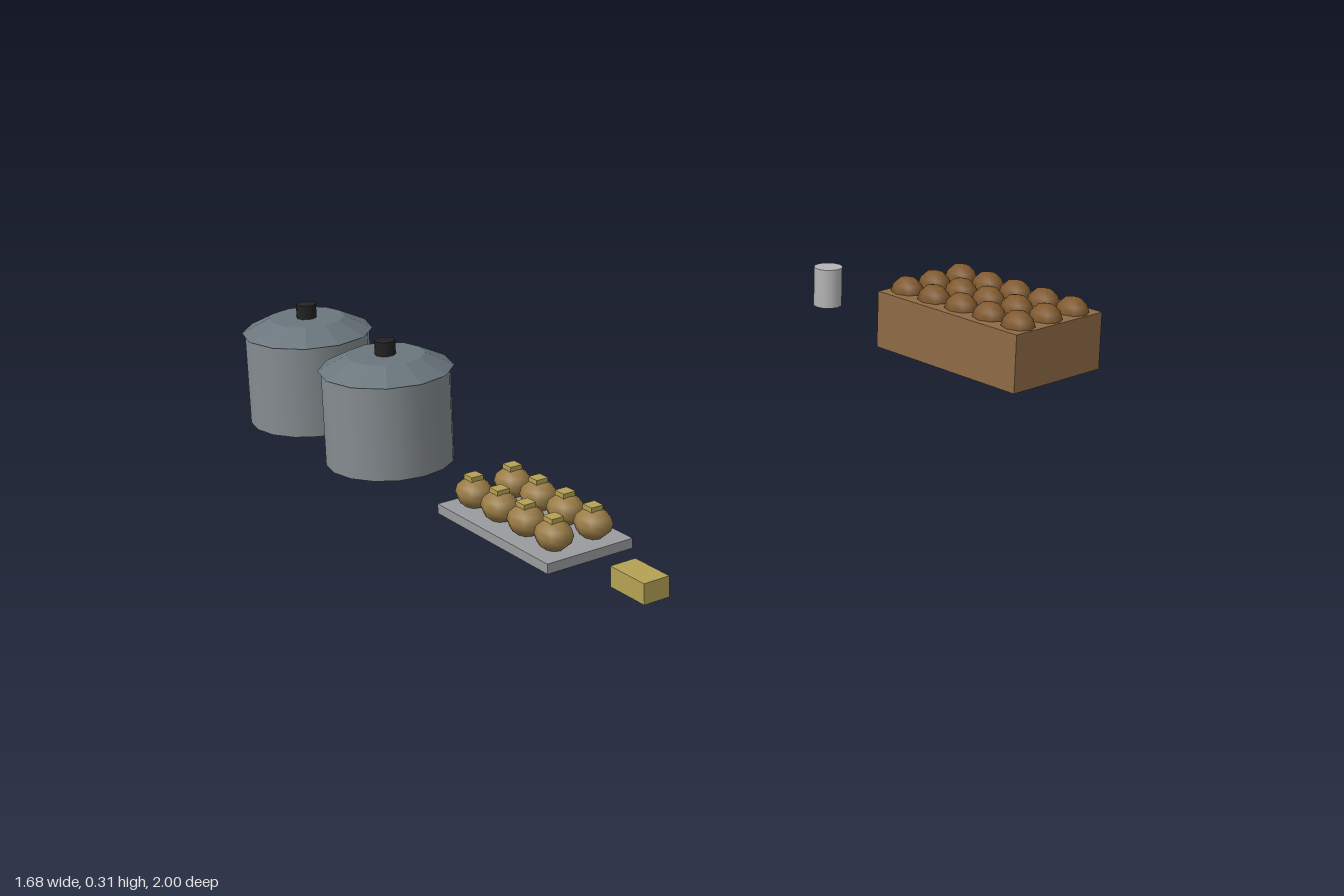
import * as THREE from 'three';

const mat = (color, flatShading = false) => {
  const m = new THREE.MeshStandardMaterial({ color });
  m.flatShading = flatShading;
  return m;
};

const steel = mat(0x858c90);
const lidSteel = mat(0x6a767d, true);
const black = mat(0x222222);
const tin = mat(0xb5b5b5);
const wood = mat(0x8f6b45);
const loafBrown = mat(0x80592e);
const trayGrey = mat(0x999b9e);
const onionTan = mat(0x9a7c47);
const straw = mat(0xb5a255);

function add(parent, name, geometry, material, x, y, z) {
  const mesh = new THREE.Mesh(geometry, material);
  mesh.name = name;
  mesh.position.set(x, y, z);
  parent.add(mesh);
  return mesh;
}

function addGroup(parent, name) {
  const g = new THREE.Group();
  g.name = name;
  parent.add(g);
  return g;
}

export function createModel() {
  const model = new THREE.Group();
  model.name = 'kitchenSupplies';

  // Two lidded cooking pots
  const body = new THREE.CylinderGeometry(0.16, 0.16, 0.24, 16);
  const lid = new THREE.CylinderGeometry(0.097, 0.168, 0.036, 12);
  const knob = new THREE.CylinderGeometry(0.026, 0.026, 0.036, 10);
  for (const x of [-0.678, -0.277]) {
    const pot = addGroup(model, 'cookingPot');
    pot.position.set(x, 0, 0.832);
    add(pot, 'potBody', body, steel, 0, 0.12, 0);
    add(pot, 'potLid', lid, lidSteel, 0, 0.258, 0);
    add(pot, 'lidKnob', knob, black, 0, 0.294, 0);
  }

  // Tin can
  add(model, 'tinCan', new THREE.CylinderGeometry(0.044, 0.044, 0.12, 12), tin, -0.5, 0.1, -0.833);

  // Crate heaped with rounded produce
  const crate = addGroup(model, 'crate');
  add(crate, 'crateBox', new THREE.BoxGeometry(0.536, 0.165, 0.338), wood, 0.171, 0.1225, -0.831);
  const ball = new THREE.SphereGeometry(0.05, 8, 6);
  for (let i = 0; i < 5; i++) {
    for (let j = 0; j < 3; j++) {
      const p = add(crate, 'crateProduce', ball, loafBrown, -0.043 + i * 0.107, 0.205, -0.938 + j * 0.107);
      p.scale.set(1, 0.9, 0.87);
    }
  }

  // Tray with two rows of stemmed bulbs
  const tray = addGroup(model, 'tray');
  add(tray, 'trayBase', new THREE.BoxGeometry(0.45, 0.024, 0.231), trayGrey, 0.353, 0.021, 0.828);
  const stem = new THREE.BoxGeometry(0.034, 0.016, 0.032);
  for (let i = 0; i < 4; i++) {
    for (const z of [0.774, 0.881]) {
      const x = 0.19 + i * 0.108;
      const bulb = add(tray, 'bulb', ball, onionTan, x, 0.066, z);
      bulb.scale.set(0.98, 0.74, 0.87);
      add(tray, 'bulbStem', stem, straw, x, 0.102, z);
    }
  }

  // Small block
  add(model, 'block', new THREE.BoxGeometry(0.12, 0.049, 0.067), straw, 0.779, 0.034, 0.843);

  return model;
}
